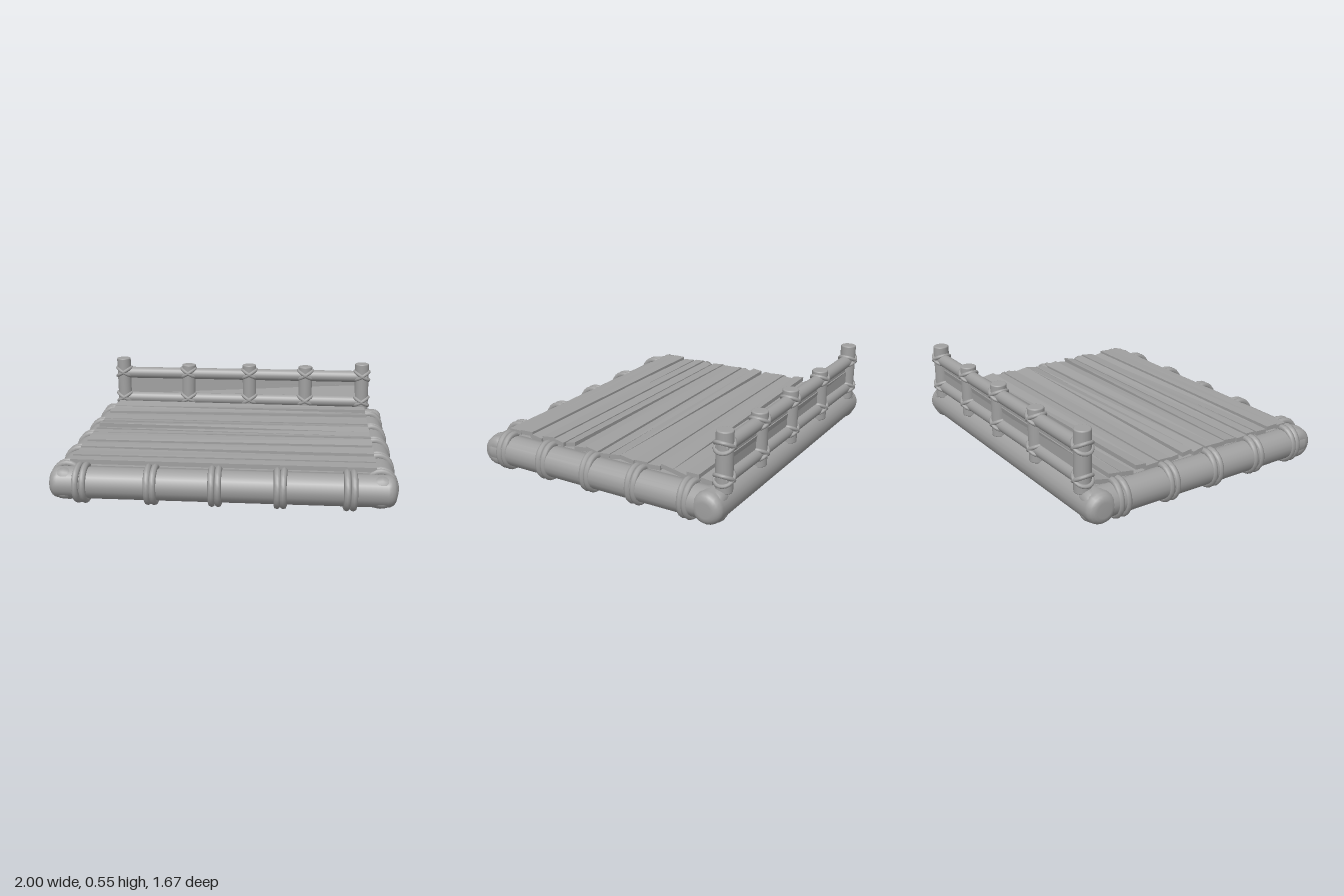
import * as THREE from 'three';

const wood = new THREE.MeshStandardMaterial({ color: 0xa0a0a0, side: THREE.DoubleSide });
wood.name = 'grey wood';

let seed = 7;
const rand = () => (seed = (seed * 16807) % 2147483647) / 2147483647;
const jitter = (a) => (rand() * 2 - 1) * a;

function add(group, name, geometry, x = 0, y = 0, z = 0) {
  const mesh = new THREE.Mesh(geometry, wood);
  mesh.name = name;
  mesh.position.set(x, y, z);
  group.add(mesh);
  return mesh;
}

// Round log along y, centred, with softened ends
function logGeometry(radius, length, round) {
  const h = length / 2;
  const points = [new THREE.Vector2(0, -h)];
  for (let i = 0; i <= 4; i++) {
    const a = (i / 4) * Math.PI / 2;
    points.push(new THREE.Vector2(radius - round + round * Math.sin(a), -h + round - round * Math.cos(a)));
  }
  for (let i = 4; i >= 0; i--) {
    const a = (i / 4) * Math.PI / 2;
    points.push(new THREE.Vector2(radius - round + round * Math.sin(a), h - round + round * Math.cos(a)));
  }
  points.push(new THREE.Vector2(0, h));
  return new THREE.LatheGeometry(points, 20);
}

// Two slightly skewed rope turns around a log that runs along x
function lashing(name, rx, ry) {
  const pair = new THREE.Group();
  pair.name = name;
  for (const side of [-1, 1]) {
    const ring = add(pair, 'ropeTurn', new THREE.TorusGeometry(1, 0.2, 8, 24), side * 0.019, 0, 0);
    ring.scale.set(rx, ry, 0.1);
    ring.rotation.set(0, Math.PI / 2 + jitter(0.07), 0);
    ring.rotation.z = jitter(0.05);
  }
  return pair;
}

// Plank along x whose two ends differ in width, height and tilt
function plankGeometry(length, width, thick) {
  const g = new THREE.BoxGeometry(length, thick, width).toNonIndexed();
  const p = g.attributes.position;
  const ends = [-1, 1].map(() => ({ w: 0.85 + rand() * 0.35, tilt: jitter(0.22), dy: jitter(0.006), dz: jitter(0.01) }));
  for (let i = 0; i < p.count; i++) {
    const e = ends[p.getX(i) < 0 ? 0 : 1];
    const z = p.getZ(i) * e.w;
    p.setXYZ(i, p.getX(i), p.getY(i) + e.dy + z * e.tilt, z + e.dz);
  }
  g.computeVertexNormals();
  return g;
}

export function createModel() {
  const model = new THREE.Group();
  model.name = 'raft';

  // Frame logs
  const frame = new THREE.Group();
  frame.name = 'frame';
  model.add(frame);
  add(frame, 'frontLog', logGeometry(0.092, 1.97, 0.05), 0, 0.135, 0.715).rotation.z = Math.PI / 2;
  add(frame, 'backLog', logGeometry(0.094, 1.99, 0.05), 0, 0.135, -0.728).rotation.z = Math.PI / 2;
  for (const s of [-1, 1]) {
    add(frame, s > 0 ? 'leftLog' : 'rightLog', logGeometry(0.092, 1.6, 0.05), s * 0.9, 0.135, -0.01).rotation.x = Math.PI / 2;
  }

  // Rope lashings on the front and side logs
  for (const x of [-0.8, -0.4, -0.035, 0.335, 0.725]) {
    const rope = lashing('frontLashing', 0.098, 0.1);
    rope.position.set(x, 0.135, 0.715);
    frame.add(rope);
  }
  for (const s of [-1, 1]) {
    for (const z of [-0.59, -0.26, 0.052, 0.365, 0.66]) {
      const rope = lashing('sideLashing', 0.086, 0.1);
      rope.position.set(s * 0.897, 0.135, z);
      rope.rotation.y = Math.PI / 2;
      frame.add(rope);
    }
  }

  // Deck: thin floor with uneven planks
  const deck = new THREE.Group();
  deck.name = 'deck';
  model.add(deck);
  add(deck, 'floor', new THREE.BoxGeometry(1.74, 0.02, 1.38), -0.005, 0.215, -0.01);
  const count = 17;
  for (let i = 0; i < count; i++) {
    const z = 0.64 - (i * 1.31) / (count - 1);
    add(deck, 'plank', plankGeometry(1.755, 0.074, 0.026), -0.005, 0.243 + (i % 2) * 0.01, z);
  }

  // Back railing: rails, panel and posts
  const railing = new THREE.Group();
  railing.name = 'railing';
  model.add(railing);
  const zr = -0.772;
  for (const y of [0.458, 0.275]) {
    add(railing, 'rail', logGeometry(0.04, 1.78, 0.01), 0.005, y, zr).rotation.z = Math.PI / 2;
  }
  add(railing, 'panel', new THREE.BoxGeometry(1.72, 0.17, 0.012), 0, 0.365, zr);
  const slat = add(railing, 'panelSlat', plankGeometry(1.7, 0.07, 0.018), 0, 0.36, zr);
  slat.rotation.x = Math.PI / 2;

  const posts = [[-0.855, 0.565], [-0.385, 0.525], [0.055, 0.53], [0.455, 0.525], [0.855, 0.552]];
  for (const [x, top] of posts) {
    const bottom = 0.2;
    const post = add(railing, 'post', logGeometry(0.049, top - bottom, 0.008), x, (top + bottom) / 2, zr);
    post.rotation.z = jitter(0.02);
    // Crossed ropes where the post meets each rail
    for (const y of [0.465, 0.28]) {
      for (const s of [-1, 1]) {
        const rope = add(railing, 'crossRope', new THREE.TorusGeometry(0.052, 0.012, 8, 20), x, y, zr);
        rope.rotation.set(Math.PI / 2, s * 0.55, 0);
        rope.scale.set(1.1, 1, 1);
      }
    }
  }
  return model;
}
